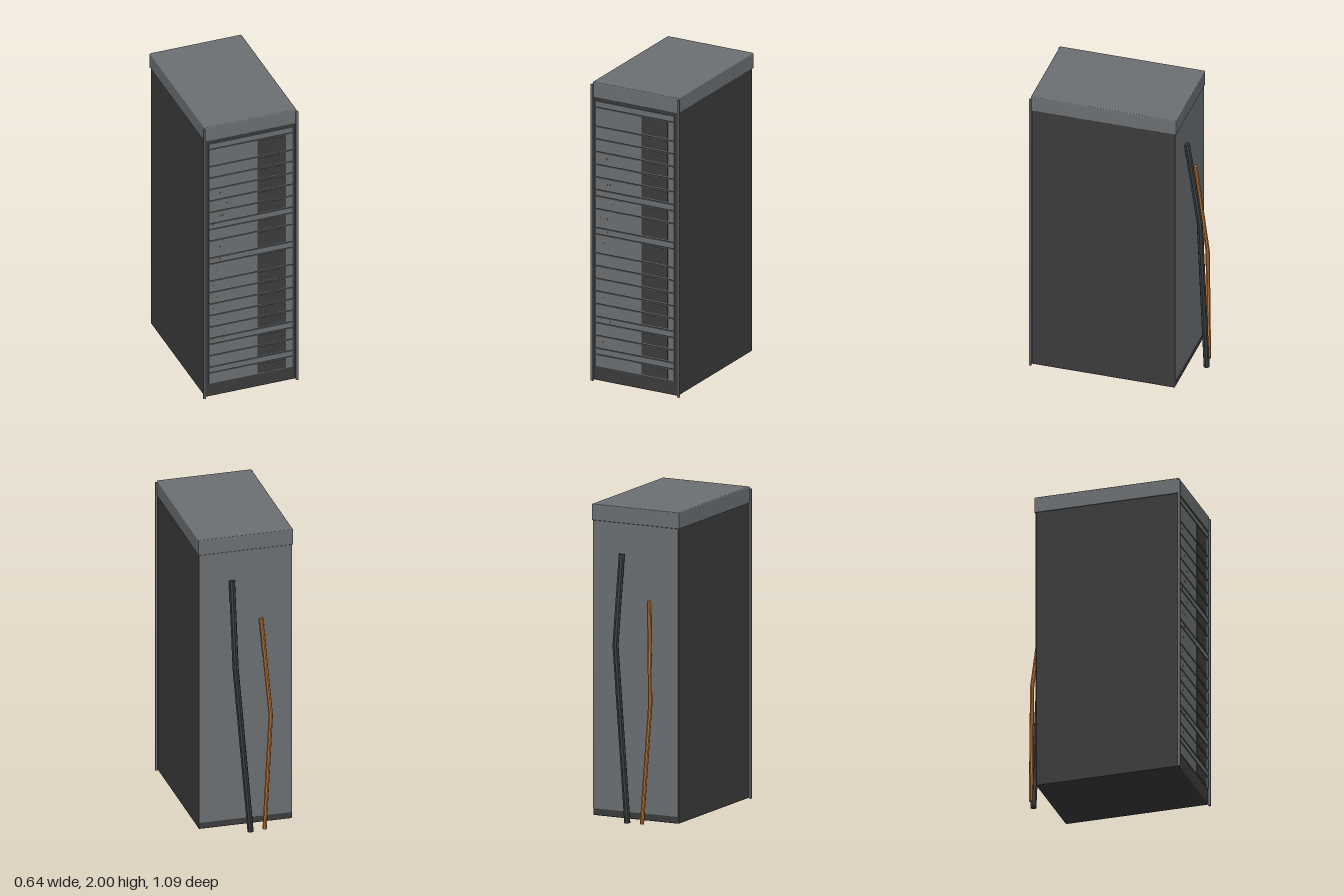
import * as THREE from 'three';
import { RoundedBoxGeometry } from 'three/addons/geometries/RoundedBoxGeometry.js';

const mat = (name, color, extra = {}) => {
  const m = new THREE.MeshStandardMaterial({ color, ...extra });
  m.name = name;
  return m;
};

// Straight-segment path, parameterised so that each bend falls on a tube ring
class BentPath extends THREE.Curve {
  constructor(points) { super(); this.points = points; }
  getPoint(t, target = new THREE.Vector3()) {
    const n = this.points.length - 1;
    const i = Math.min(Math.floor(t * n), n - 1);
    return target.lerpVectors(this.points[i], this.points[i + 1], t * n - i);
  }
  getPointAt(u, target) { return this.getPoint(u, target); }
  getTangentAt(u, target) { return this.getTangent(u, target); }
}

export function createModel() {
  const group = new THREE.Group();
  group.name = 'serverRack';
  const grey = mat('steelGrey', 0x6c7073);
  const dark = mat('darkPanel', 0x3c3c3c);
  const black = mat('blackCable', 0x3b3c3d, { flatShading: true });
  const copper = mat('copperCable', 0xb87333, { flatShading: true });

  const add = (name, geometry, material, x = 0, y = 0, z = 0) => {
    const mesh = new THREE.Mesh(geometry, material);
    mesh.name = name;
    mesh.position.set(x, y, z);
    group.add(mesh);
    return mesh;
  };
  // Box given by its limits; r rounds the edges
  const box = (name, material, x0, x1, y0, y1, z0, z1, r = 0) => {
    const s = [x1 - x0, y1 - y0, z1 - z0];
    const g = r ? new RoundedBoxGeometry(...s, 2, r) : new THREE.BoxGeometry(...s);
    return add(name, g, material, (x0 + x1) / 2, (y0 + y1) / 2, (z0 + z1) / 2);
  };

  // Cabinet
  box('cabinet', dark, -0.305, 0.305, 0.005, 1.92, -0.41, 0.532, 0.006);
  box('topCap', grey, -0.31, 0.31, 1.895, 2, -0.42, 0.537, 0.006);
  box('backPanel', grey, -0.302, 0.302, 0.05, 1.895, -0.414, -0.405);
  for (const s of [-1, 1]) {
    box('cornerPost', grey, s * 0.311 - 0.008, s * 0.311 + 0.008, 0, 1.985, 0.53, 0.546, 0.002);
  }

  // Front units, top to bottom, in slot heights
  const slot = 0.0424;
  const units = [1, 3, 2, 2, 2, 2, 2, 1, 2, 3, 1, 3, 2, 2, 2, 2, 2, 1, 2, 2, 1, 2];
  let top = 1.879;
  for (const n of units) {
    const bottom = top - n * slot;
    box('unitFace', grey, -0.283, 0.28, bottom + 0.004, top - 0.004, 0.528, 0.539);
    if (n > 1) {
      box('unitVent', dark, 0.045, 0.235, bottom + 0.009, top - 0.009, 0.536, 0.5415);
    }
    top = bottom;
  }

  // Status lights
  const lights = [
    [-0.255, 1.67], [-0.205, 1.5], [-0.16, 1.413], [-0.205, 1.33], [-0.185, 1.33],
    [-0.255, 1.268], [-0.16, 1.2], [-0.255, 1.1], [-0.205, 1.1], [-0.205, 1.012],
    [-0.23, 0.93], [-0.255, 0.82], [-0.23, 0.73], [-0.255, 0.65], [-0.23, 0.565],
    [-0.255, 0.417], [-0.185, 0.417], [-0.235, 0.27],
  ];
  for (const [x, y] of lights) {
    box('statusLight', copper, x - 0.004, x + 0.004, y - 0.004, y + 0.004, 0.537, 0.542);
  }

  // Cables hanging behind the cabinet
  const cable = (name, material, radius, coords) => {
    const points = coords.map((c) => new THREE.Vector3(...c));
    const path = new BentPath(points);
    add(name, new THREE.TubeGeometry(path, points.length - 1, radius, 8), material);
    [[0, -1], [1, 1]].forEach(([u, sign]) => {
      const end = add(name + 'End', new THREE.CircleGeometry(radius, 8), material);
      end.position.copy(path.getPoint(u));
      end.quaternion.setFromUnitVectors(
        new THREE.Vector3(0, 0, 1), path.getTangent(u).multiplyScalar(sign));
    });
  };
  cable('blackCable', black, 0.02,
    [[0.093, 1.7, -0.424], [0.093, 1.13, -0.508], [0, 0.003, -0.525]]);
  cable('copperCable', copper, 0.014,
    [[-0.098, 1.415, -0.42], [-0.143, 0.77, -0.487], [-0.096, 0.003, -0.51]]);

  return group;
}
